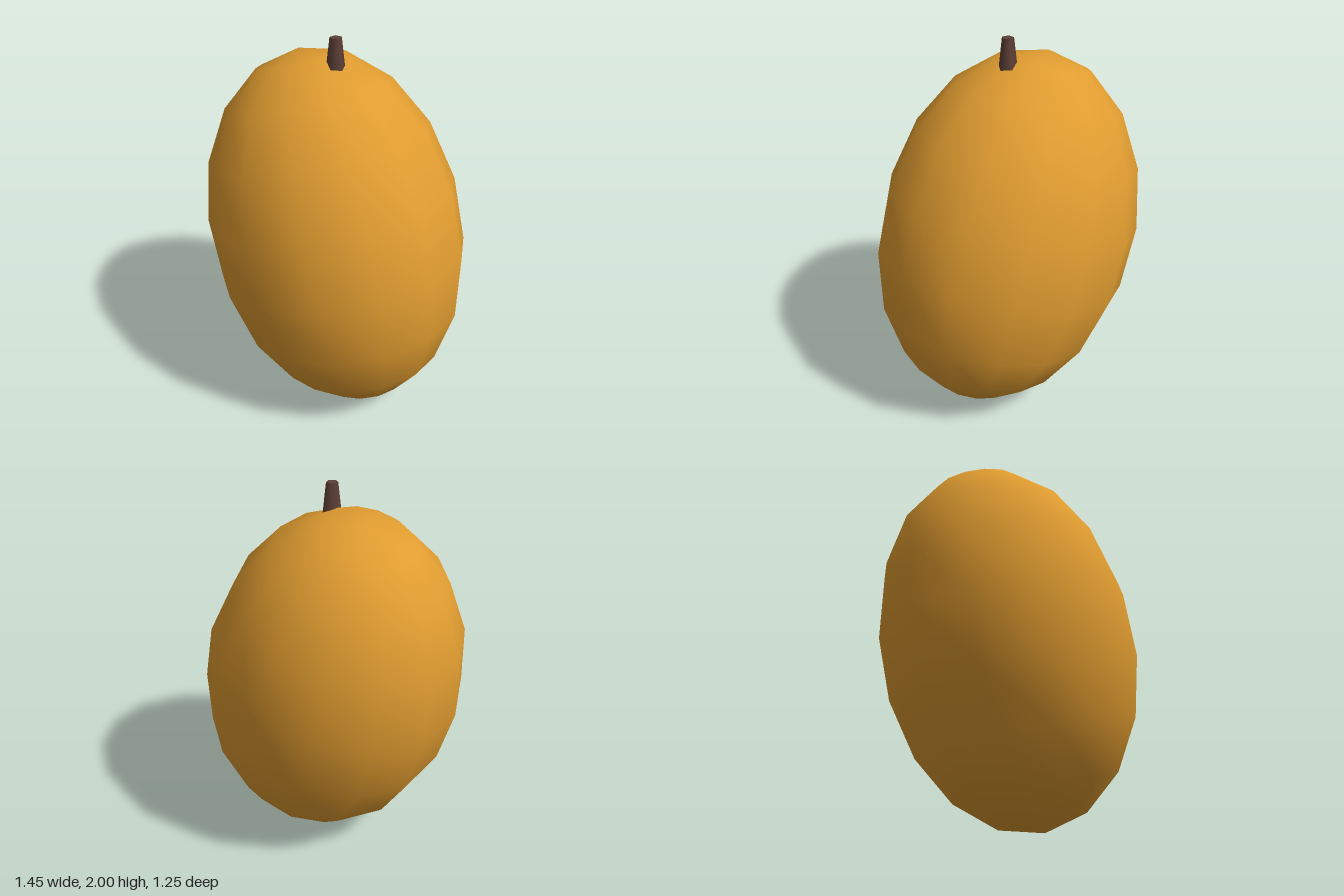
import * as THREE from 'three';

export function createModel() {
  const model = new THREE.Group();
  const skin = new THREE.MeshStandardMaterial({ color: 0xe09c30 });
  skin.name = 'orange skin';
  const bark = new THREE.MeshStandardMaterial({ color: 0x5d4037 });
  bark.name = 'brown stem';

  // Fruit body: a smooth ellipsoid leaning towards -x
  const body = new THREE.SphereGeometry(1, 14, 9);
  body.scale(0.7, 0.97, 0.652);
  body.rotateZ(0.302);
  const fruit = new THREE.Mesh(body, skin);
  fruit.name = 'fruit';
  fruit.position.y = 0.945;
  model.add(fruit);

  // Stem: upright tapered five-sided peg, its foot sunk into the fruit
  const peg = new THREE.CylinderGeometry(0.03, 0.049, 0.16, 5);
  peg.rotateY(Math.PI / 2);
  const stem = new THREE.Mesh(peg, bark);
  stem.name = 'stem';
  stem.position.y = 1.92;
  model.add(stem);

  return model;
}
